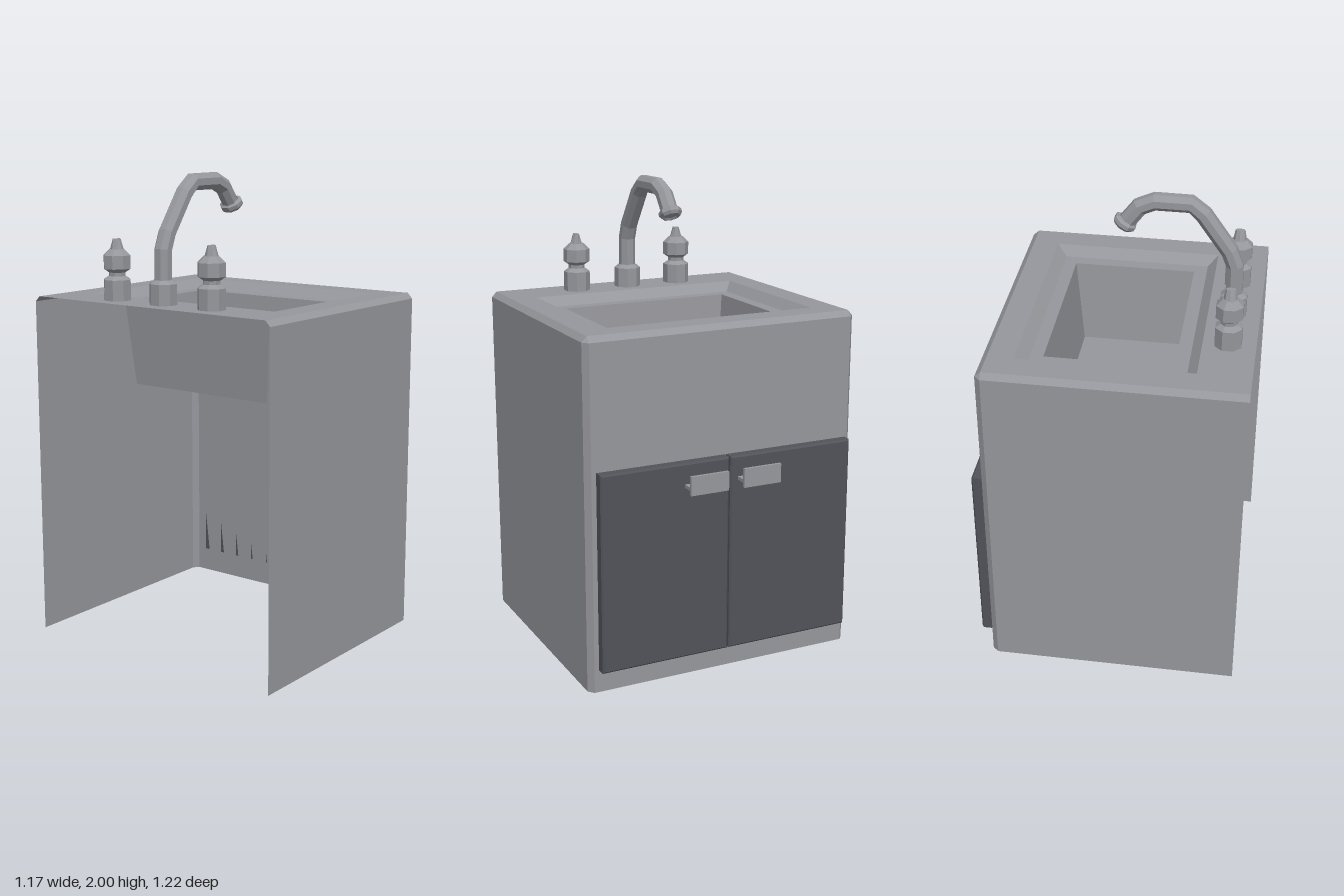
import * as THREE from 'three';

const enamel = new THREE.MeshStandardMaterial({ name: 'greyEnamel', color: 0x96979c, flatShading: true, side: THREE.DoubleSide });
const darkPanel = new THREE.MeshStandardMaterial({ name: 'darkDoor', color: 0x505359, flatShading: true });

function add(parent, name, geometry, material = enamel) {
  const mesh = new THREE.Mesh(geometry, material);
  mesh.name = name;
  parent.add(mesh);
  return mesh;
}

// Surface joining successive loops of points; closed loops wrap round
function loft(loops, closed = true, cap = false) {
  const pos = [], index = [], n = loops[0].length;
  loops.forEach(loop => loop.forEach(p => pos.push(...p)));
  for (let i = 0; i < loops.length - 1; i++) {
    for (let j = 0; j < (closed ? n : n - 1); j++) {
      const a = i * n + j, b = i * n + (j + 1) % n;
      index.push(a, b, b + n, a, b + n, a + n);
    }
  }
  if (cap) {
    const s = (loops.length - 1) * n;
    for (let j = 1; j < n - 1; j++) index.push(s, s + j, s + j + 1);
  }
  const g = new THREE.BufferGeometry();
  g.setAttribute('position', new THREE.Float32BufferAttribute(pos, 3));
  g.setIndex(index);
  const flat = g.toNonIndexed();
  flat.computeVertexNormals();
  return flat;
}

const rect = (x0, x1, z, y) => [[x0, y, z], [x1, y, z], [x1, y, -z], [x0, y, -z]];

function lathe(points) {
  const g = new THREE.LatheGeometry(points.map(p => new THREE.Vector2(...p)), 8);
  return g.rotateY(Math.PI / 8);
}

// Octagonal tube that follows a polyline in the XY plane
function pipe(path, radius) {
  const loops = path.map((p, i) => {
    const a = path[Math.max(i - 1, 0)], b = path[Math.min(i + 1, path.length - 1)];
    const t = new THREE.Vector2(b[0] - a[0], b[1] - a[1]).normalize();
    return Array.from({ length: 8 }, (_, k) => {
      const ang = (k + 0.5) * Math.PI / 4;
      const u = Math.cos(ang) * radius, v = Math.sin(ang) * radius;
      return [p[0] - t.y * u, p[1] + t.x * u, v];
    });
  });
  return loft(loops);
}

export function createModel() {
  const model = new THREE.Group();
  model.name = 'sinkCabinet';

  // Cabinet shell, open at the back and underneath, with chamfered edges
  const outline = y => [[-0.59, y, 0.61], [0.453, y, 0.61], [0.478, y, 0.588],
    [0.478, y, -0.588], [0.453, y, -0.61], [-0.59, y, -0.61]];
  const top = [[-0.59, 1.48, 0.588], [0.453, 1.48, 0.588], [0.453, 1.48, 0.588],
    [0.453, 1.48, -0.588], [0.453, 1.48, -0.588], [-0.59, 1.48, -0.588]];
  add(model, 'cabinetShell', loft([outline(0), outline(1.457), top], false));

  // Worktop with stepped rim and sunken basin
  add(model, 'worktopAndBasin', loft([
    rect(-0.59, 0.453, 0.588, 1.48),
    rect(-0.375, 0.345, 0.477, 1.48),
    rect(-0.333, 0.3, 0.438, 1.44),
    rect(-0.278, 0.246, 0.383, 1.44),
    rect(-0.248, 0.208, 0.35, 1.08),
  ], true, true));

  // Drain ring
  add(model, 'drain', lathe([[0.095, 1.08], [0.088, 1.095], [0.07, 1.095],
    [0.06, 1.085], [0.035, 1.085], [0, 1.085]])).position.x = -0.03;

  // Doors and their T-section handles, mirrored
  for (const side of [1, -1]) {
    const name = side > 0 ? 'left' : 'right';
    const b = 0.007, w = 0.5675 - 2 * b, h = 0.84 - 2 * b;
    const shape = new THREE.Shape([[-w / 2, -h / 2], [w / 2, -h / 2], [w / 2, h / 2], [-w / 2, h / 2]]
      .map(p => new THREE.Vector2(...p)));
    const door = new THREE.ExtrudeGeometry(shape, {
      depth: 0.05 - 2 * b, bevelEnabled: true, bevelSize: b, bevelThickness: b, bevelSegments: 1,
    });
    door.rotateY(Math.PI / 2);
    add(model, name + 'Door', door, darkPanel).position.set(0.478 + b, 0.52, side * 0.287);

    const handle = new THREE.Group();
    handle.name = name + 'Handle';
    handle.position.z = side * 0.12;
    add(handle, 'handleStem', new THREE.BoxGeometry(0.045, 0.014, 0.17)).position.set(0.549, 0.846, 0);
    add(handle, 'handleGrip', new THREE.BoxGeometry(0.014, 0.08, 0.17)).position.set(0.578, 0.86, 0);
    model.add(handle);
  }

  // Two taps
  for (const side of [1, -1]) {
    const tap = new THREE.Group();
    tap.name = side > 0 ? 'leftTap' : 'rightTap';
    tap.position.set(-0.477, 1.48, side * 0.247);
    add(tap, 'tapBody', lathe([[0.058, 0], [0.058, 0.085], [0.036, 0.1], [0.036, 0.115],
      [0.058, 0.13], [0.058, 0.185], [0.032, 0.21], [0, 0.21]]));
    const knob = new THREE.CylinderGeometry(0.016, 0.03, 0.05, 8);
    const p = knob.attributes.position;
    for (let i = 0; i < p.count; i++) {
      if (p.getY(i) > 0) p.setXYZ(i, p.getX(i) * 1.3, p.getY(i), p.getZ(i) * 0.75);
    }
    add(tap, 'tapKnob', knob).position.y = 0.227;
    model.add(tap);
  }

  // Faucet base, bent spout and nozzle
  const faucet = new THREE.Group();
  faucet.name = 'faucet';
  add(faucet, 'faucetBase', lathe([[0.058, 1.48], [0.058, 1.565], [0.04, 1.58], [0, 1.58]])).position.x = -0.477;
  add(faucet, 'spout', pipe([[-0.477, 1.57], [-0.475, 1.7], [-0.45, 1.765], [-0.34, 1.92],
    [-0.29, 1.961], [-0.145, 1.962], [-0.085, 1.935], [-0.032, 1.865]], 0.037));
  const nozzle = add(faucet, 'nozzle', lathe([[0, -0.008], [0.03, -0.012], [0.04, -0.02],
    [0.05, -0.008], [0.05, 0.008], [0.036, 0.018]]));
  nozzle.position.set(-0.027, 1.862, 0);
  nozzle.rotation.z = 0.55;
  model.add(faucet);

  return model;
}
